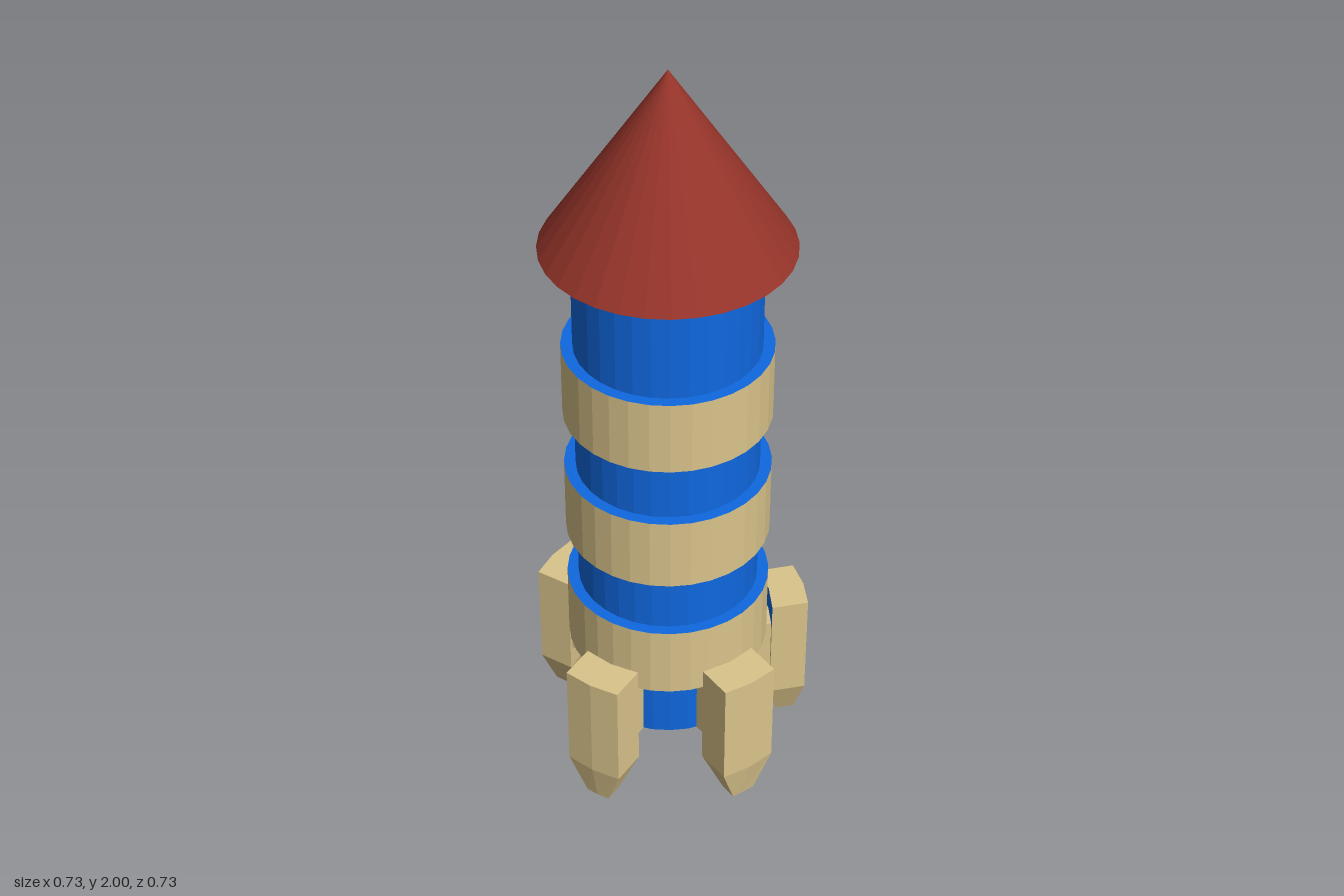
import * as THREE from 'three';

const SIDES = 32;

// Leg built from stacked six-point sections; radial direction is local +z.
function legGeometry() {
  // y, half width, outer corner z, outer middle z, inner corner z, inner middle z
  const levels = [
    [0, 0.033, 0.345, 0.347, 0.296, 0.298],
    [0.11, 0.077, 0.361, 0.369, 0.264, 0.274],
    [0.345, 0.077, 0.361, 0.369, 0.264, 0.274],
    [0.41, 0.077, 0.361, 0.369, 0.264, 0.274],
  ];
  const loops = levels.map(([y, h, oc, om, ic, im]) => [
    [-h, y, oc], [0, y, om], [h, y, oc], [h, y, ic], [0, y, im], [-h, y, ic],
  ]);
  const main = [];
  const inner = [];
  for (let l = 0; l < loops.length - 1; l++) {
    for (let i = 0; i < 6; i++) {
      const j = (i + 1) % 6;
      const a = loops[l][i], b = loops[l][j], c = loops[l + 1][j], d = loops[l + 1][i];
      const target = l === 2 && (i === 3 || i === 4) ? inner : main;
      target.push(a, b, c, a, c, d);
    }
  }
  // end caps fan out from the outer middle point
  const low = loops[0], top = loops[loops.length - 1];
  for (const i of [2, 3, 4, 5]) {
    const j = (i + 1) % 6;
    main.push(top[1], top[i], top[j], low[1], low[j], low[i]);
  }
  const geo = new THREE.BufferGeometry();
  geo.setAttribute('position', new THREE.Float32BufferAttribute([...main, ...inner].flat(), 3));
  geo.addGroup(0, main.length, 0);
  geo.addGroup(main.length, inner.length, 1);
  geo.computeVertexNormals();
  return geo;
}

export function createModel() {
  const paint = (name, color) => {
    const m = new THREE.MeshStandardMaterial({ color, flatShading: true });
    m.name = name;
    return m;
  };
  const blue = paint('blue', 0x0f68e0);
  const tan = paint('tan', 0xdac48b);
  const red = paint('red', 0x96342a);
  const grey = paint('light grey', 0xd2d2d2);

  const model = new THREE.Group();
  model.name = 'rocket';
  const add = (parent, name, geo, mat, y = 0) => {
    const mesh = new THREE.Mesh(geo, mat);
    mesh.name = name;
    mesh.position.y = y;
    parent.add(mesh);
    return mesh;
  };
  const cylinder = (rTop, rBottom, h) => new THREE.CylinderGeometry(rTop, rBottom, h, SIDES);

  // Hull, tapered tail and nozzle disc
  add(model, 'hull', cylinder(0.232, 0.232, 1.365), blue, 0.8575);
  add(model, 'tail', cylinder(0.232, 0.13, 0.075), blue, 0.1375);
  add(model, 'nozzle', cylinder(0.112, 0.112, 0.006), grey, 0.1);

  // Three bands with blue rims
  [0.44, 0.797, 1.157].forEach((y, i) =>
    add(model, `band${i + 1}`, cylinder(0.261, 0.261, 0.198), [tan, blue, blue], y));

  // Nose cone
  add(model, 'noseCone', new THREE.ConeGeometry(0.31, 0.465, SIDES), red, 1.7675);

  // Five legs, each joined to the hull by a strut
  const legGeo = legGeometry();
  const strutGeo = new THREE.BoxGeometry(0.13, 0.17, 0.08);
  [180, 112.5, 45, -22.5, -112.5].forEach((deg, i) => {
    const leg = new THREE.Group();
    leg.name = `leg${i + 1}`;
    add(leg, 'legBlock', legGeo, [tan, blue]);
    add(leg, 'strut', strutGeo, tan, 0.26).position.z = 0.24;
    leg.rotation.y = THREE.MathUtils.degToRad(deg);
    model.add(leg);
  });

  return model;
}
